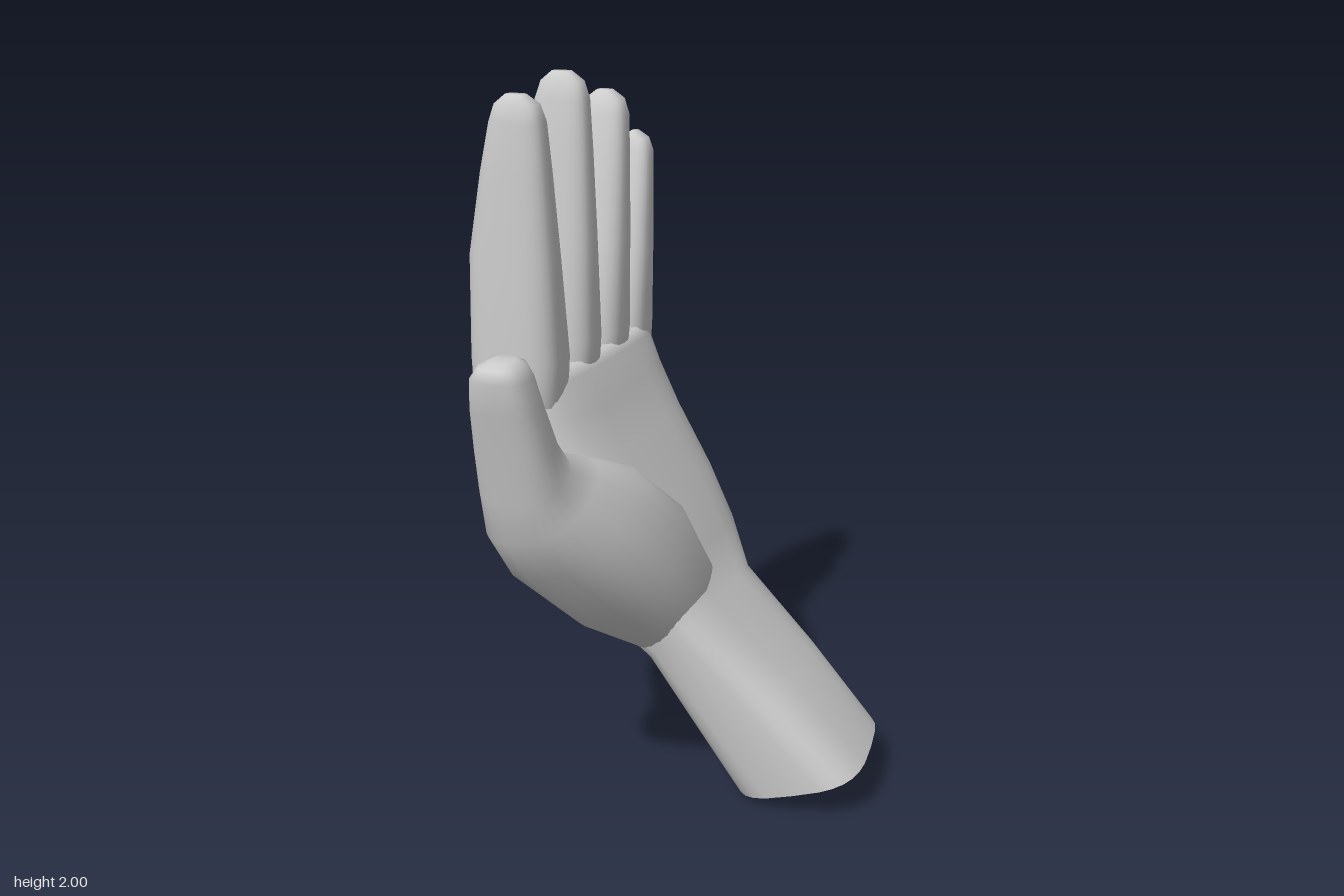
import * as THREE from 'three';

const SIDES = 28;
const material = new THREE.MeshStandardMaterial({ color: 0xcccccc });
const V = (x, y, z) => new THREE.Vector3(x, y, z);

// Signed power, turns a circle into a rounded box outline
const soft = (t, p) => Math.sign(t) * Math.pow(Math.abs(t), p);

// Skin through rings { c, u, v }: centre and two half axes, with u x v along the path
function loft(name, rings, power, flatStart) {
  const pos = [], idx = [];
  const addRing = ({ c, u, v }) => {
    for (let j = 0; j < SIDES; j++) {
      const a = (j / SIDES) * Math.PI * 2;
      const p = c.clone()
        .addScaledVector(u, soft(Math.cos(a), power))
        .addScaledVector(v, soft(Math.sin(a), power));
      pos.push(p.x, p.y, p.z);
    }
  };
  rings.forEach(addRing);
  for (let i = 0; i < rings.length - 1; i++) {
    for (let j = 0; j < SIDES; j++) {
      const a = i * SIDES + j, b = i * SIDES + (j + 1) % SIDES;
      idx.push(a, b, b + SIDES, a, b + SIDES, a + SIDES);
    }
  }
  // Closing fans; a flat start gets its own ring so its rim stays crisp
  let first = 0;
  if (flatStart) {
    first = pos.length / 3;
    addRing(rings[0]);
  }
  const last = (rings.length - 1) * SIDES;
  const start = pos.length / 3, end = start + 1;
  pos.push(...rings[0].c.toArray(), ...rings[rings.length - 1].c.toArray());
  for (let j = 0; j < SIDES; j++) {
    const k = (j + 1) % SIDES;
    idx.push(start, first + k, first + j, end, last + j, last + k);
  }
  const geo = new THREE.BufferGeometry();
  geo.setAttribute('position', new THREE.Float32BufferAttribute(pos, 3));
  geo.setIndex(idx);
  geo.computeVertexNormals();
  const mesh = new THREE.Mesh(geo, material);
  mesh.name = name;
  return mesh;
}

// Ring from its back point, palm-side point and z range
const slab = ([xb, yb, xf, yf, z0, z1, skew = 0]) => ({
  c: V((xb + xf) / 2, (yb + yf) / 2, (z0 + z1) / 2),
  u: V(skew, 0, (z1 - z0) / 2),
  v: V((xf - xb) / 2, (yf - yb) / 2, 0),
});

// Ring across the thumb from its outer and inner edges
const thumbRing = ([yo, zo, yi, zi, x, h, tilt = 0]) => ({
  c: V(x, (yo + yi) / 2, (zo + zi) / 2),
  u: V(0, (yo - yi) / 2, (zo - zi) / 2),
  v: V(h, tilt, 0),
});

// Finger from the z range at root and tip
function finger(name, [rootZ0, rootZ1, tipZ0, tipZ1, tipY, xb, xf]) {
  const rows = [
    // height fraction, width scale, back and front x
    [0, 0.8, xb + 0.05, xf - 0.04],
    [0.16, 0.95, xb + 0.005, xf - 0.01],
    [0.3, 1, xb, xf],
    [0.58, 1, xb + 0.005, xf - 0.012],
    [0.8, 1, xb + 0.045, xf - 0.025],
    [0.93, 1, xb + 0.075, xf - 0.035],
    [0.975, 0.82, xb + 0.09, xf - 0.05],
    [1, 0.45, xb + 0.12, xf - 0.085],
  ];
  const y0 = 0.98;
  return loft(name, rows.map(([t, w, b, f]) => {
    const y = y0 + (tipY - y0) * t;
    const s = Math.max(0, (y - 1.23) / (tipY - 1.23));
    const z0 = rootZ0 + (tipZ0 - rootZ0) * s, z1 = rootZ1 + (tipZ1 - rootZ1) * s;
    const m = (z0 + z1) / 2, h = (z1 - z0) / 2 * w;
    return slab([b, y, f, y, m - h, m + h]);
  }), 0.72);
}

export function createModel() {
  const hand = new THREE.Group();
  hand.name = 'hand';

  // Wrist and palm
  hand.add(loft('wristAndPalm', [
    [0.13, 0.005, 0.51, 0.135, -0.41, 0.08, 0.035],
    [0.025, 0.2, 0.3, 0.36, -0.4, 0.105, 0.015],
    [-0.08, 0.41, 0.08, 0.57, -0.39, 0.135],
    [-0.25, 0.57, 0.015, 0.69, -0.47, 0.19],
    [-0.41, 0.72, -0.06, 0.83, -0.51, 0.235],
    [-0.525, 0.94, -0.17, 1.0, -0.53, 0.245],
    [-0.54, 1.08, -0.235, 1.12, -0.53, 0.245],
    [-0.525, 1.19, -0.275, 1.21, -0.525, 0.24],
    [-0.48, 1.23, -0.3, 1.235, -0.5, 0.21],
  ].map(slab), 0.6, true));

  // Four fingers
  const fingers = {
    indexFinger: [0.053, 0.25, 0.125, 0.215, 1.97, -0.54, -0.28],
    middleFinger: [-0.142, 0.045, -0.14, -0.055, 2.0, -0.54, -0.28],
    ringFinger: [-0.345, -0.148, -0.415, -0.325, 1.92, -0.535, -0.285],
    littleFinger: [-0.53, -0.35, -0.605, -0.525, 1.78, -0.515, -0.295],
  };
  for (const [name, spec] of Object.entries(fingers)) hand.add(finger(name, spec));

  // Thumb with its fleshy base
  hand.add(loft('thumb', [
    [0.46, 0.09, 0.62, -0.12, 0.0, 0.06, 0.06],
    [0.6, 0.285, 0.84, 0.0, -0.1, 0.145, 0.06],
    [0.78, 0.45, 0.98, 0.11, -0.2, 0.16, 0.05],
    [0.89, 0.505, 1.04, 0.23, -0.245, 0.14, 0.03],
    [1.0, 0.53, 1.09, 0.34, -0.26, 0.115],
    [1.12, 0.555, 1.15, 0.4, -0.26, 0.105],
    [1.25, 0.585, 1.25, 0.432, -0.265, 0.09],
    [1.335, 0.605, 1.335, 0.458, -0.265, 0.075],
    [1.365, 0.59, 1.37, 0.468, -0.265, 0.055],
    [1.377, 0.56, 1.38, 0.49, -0.265, 0.03],
  ].map(thumbRing), 0.75));

  return hand;
}
